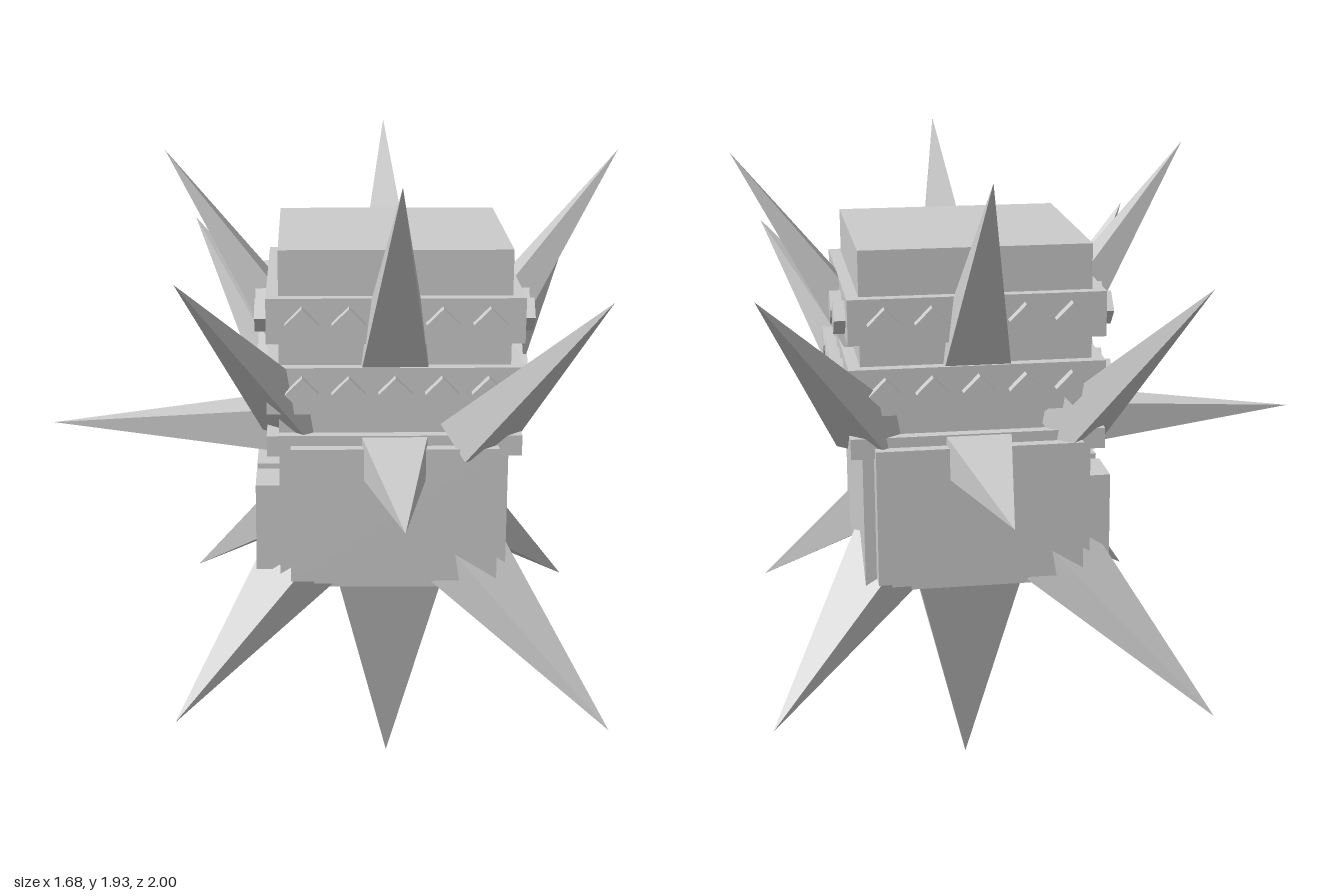
import * as THREE from 'three';

const CX = 0.18; // the body sits off-centre in x

export function createModel() {
  const model = new THREE.Group();
  const mat = new THREE.MeshStandardMaterial({ color: 0xcccccc, flatShading: true });

  function add(name, geometry) {
    const mesh = new THREE.Mesh(geometry, mat);
    mesh.name = name;
    model.add(mesh);
    return mesh;
  }

  // Square layer of the tower, given by half width and y range
  function layer(name, half, y0, y1) {
    const m = add(name, new THREE.BoxGeometry(half * 2, y1 - y0, half * 2));
    m.position.set(CX, (y0 + y1) / 2, 0);
  }

  // Four-sided spike: tip point, pointing direction, length, half width and half thickness
  function spike(name, tip, dir, length, w, t) {
    const g = new THREE.ConeGeometry(Math.SQRT2, 1, 4);
    g.rotateY(Math.PI / 4);
    g.translate(0, -0.5, 0);
    g.scale(w, length, t);
    const y = new THREE.Vector3(...dir).normalize();
    const x = new THREE.Vector3(0, 1, 0).cross(y);
    if (x.lengthSq() < 1e-6) x.set(1, 0, 0);
    x.normalize();
    const z = new THREE.Vector3().crossVectors(x, y);
    g.applyMatrix4(new THREE.Matrix4().makeBasis(x, y, z));
    add(name, g).position.set(...tip);
  }

  // Stacked body
  layer('basePlate', 0.28, 0.675, 0.705);
  layer('lowerBody', 0.33, 0.705, 1.11);
  layer('waistBand', 0.365, 1.11, 1.17);
  layer('neck', 0.33, 1.17, 1.235);
  layer('lowerStudBand', 0.365, 1.235, 1.37);
  layer('bandGap', 0.33, 1.37, 1.44);
  layer('upperStudBand', 0.365, 1.44, 1.57);
  layer('topBlock', 0.33, 1.57, 1.70);

  // Front and back slabs
  for (const s of [1, -1]) {
    const slab = add(s > 0 ? 'frontSlab' : 'backSlab', new THREE.BoxGeometry(0.595, 0.4, 0.08));
    slab.position.set(CX, 0.94, s * 0.36);
  }

  // Three narrow panels on one side
  for (const z of [-0.2, 0.01, 0.22]) {
    add('sidePanel', new THREE.BoxGeometry(0.08, 0.26, 0.16)).position.set(-0.18, 0.87, z);
  }

  // Diamond studs on all four sides of both bands
  for (let side = 0; side < 4; side++) {
    const face = new THREE.Group();
    face.name = 'studFace';
    face.position.x = CX;
    face.rotation.y = side * Math.PI / 2;
    for (const y of [1.5, 1.3]) {
      for (let i = -2; i <= 2; i++) {
        const stud = new THREE.Mesh(new THREE.BoxGeometry(0.068, 0.068, 0.068), mat);
        stud.name = 'stud';
        stud.position.set(i * 0.132, y, 0.364);
        stud.rotation.z = Math.PI / 4;
        face.add(stud);
      }
    }
    model.add(face);
  }

  // Upper spikes leaning out from the middle of each side
  for (const [dx, dz] of [[1, 0], [-1, 0], [0, 1], [0, -1]]) {
    spike('upperSpike', [CX + dx * 0.66, 1.93, dz * 0.66], [dx * 0.557, 0.83, dz * 0.557], 0.66, 0.097, 0.063);
  }

  // Level spikes at the waist
  spike('frontSpike', [CX, 1.105, 1], [0, 0, 1], 0.66, 0.097, 0.063);
  spike('backSpike', [CX, 1.105, -1], [0, 0, -1], 0.66, 0.097, 0.063);
  spike('sideSpike', [-0.84, 1.105, 0], [-1, 0, 0], 0.66, 0.093, 0.063);

  // Corner spikes, upper ring then lower ring
  const upper = [[-0.425, 1.655, 0.565], [0.745, 1.62, 0.64], [0.8, 1.625, -0.59], [-0.43, 1.62, -0.61]];
  for (const p of upper) {
    spike('upperCornerSpike', p, [Math.sign(p[0]), 1.42, Math.sign(p[2])], 0.66, 0.1, 0.067);
  }
  const lower = [[-0.45, 0.385, 0.595], [0.78, 0.39, 0.67], [0.8, 0.385, -0.57], [-0.45, 0.385, -0.67]];
  for (const p of lower) {
    spike('lowerCornerSpike', p, [Math.sign(p[0]), -1, Math.sign(p[2])], 0.66, 0.11, 0.07);
  }

  // Large spike pointing straight down
  spike('bottomSpike', [CX, 0, 0], [0, -1, 0], 0.69, 0.168, 0.168);

  return model;
}
